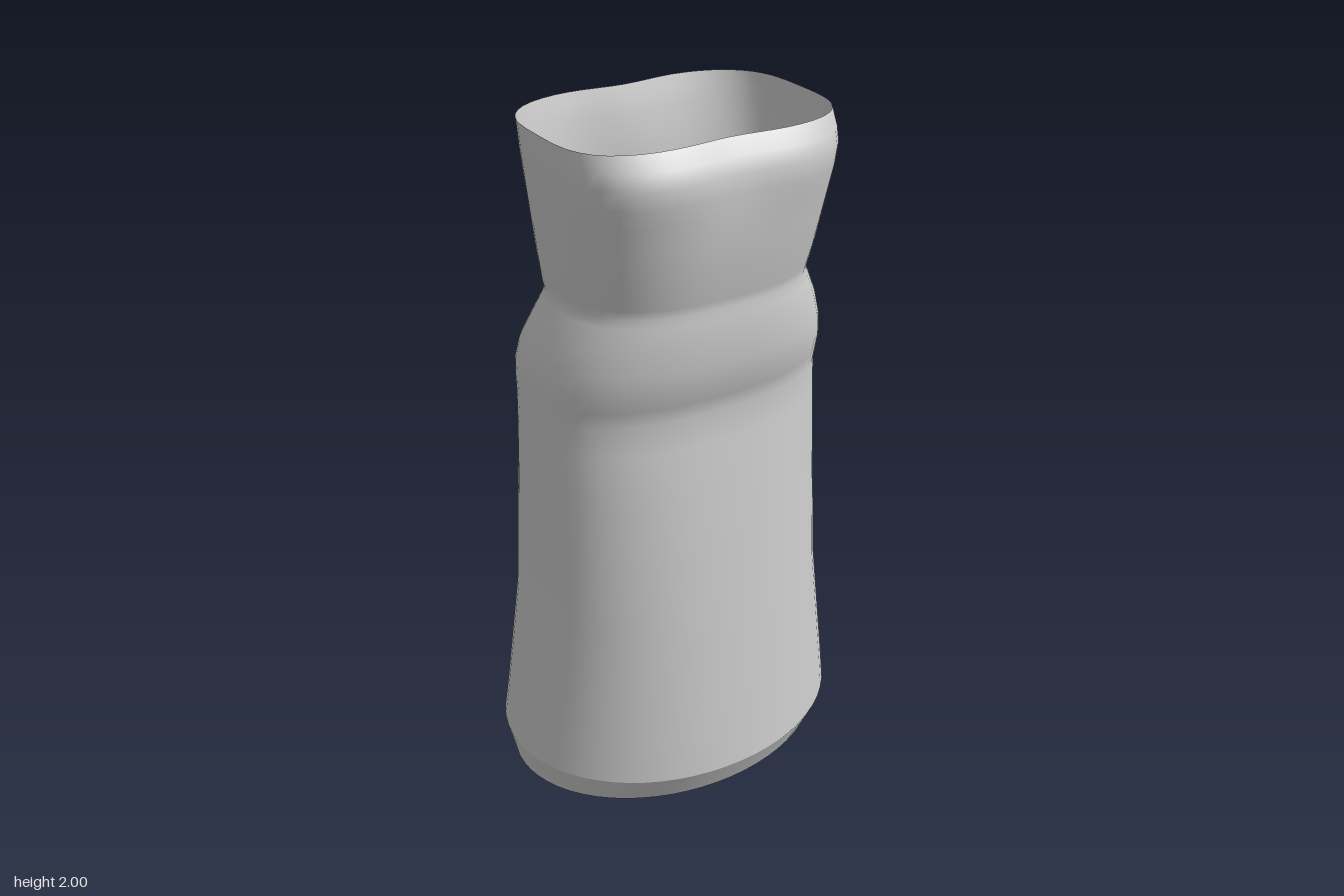
import * as THREE from 'three';

const SEGMENTS = 64;
const { smoothstep, lerp } = THREE.MathUtils;

// Outline at each height: y, half width, front z, back z
const HEM_EDGE = [0.1, 0.532, 0.432, -0.432];
const HEM = [[0, 0.512, 0.385, -0.39], HEM_EDGE];
const SLEEVE = [
  HEM_EDGE,
  [0.22, 0.516, 0.418, -0.405],
  [0.6, 0.465, 0.372, -0.357],
  [1.0, 0.447, 0.323, -0.311],
  [1.15, 0.444, 0.301, -0.29],
  [1.24, 0.443, 0.291, -0.28],
  [1.29, 0.444, 0.306, -0.281],
  [1.34, 0.443, 0.323, -0.278],
  [1.4, 0.432, 0.331, -0.255],
  [1.47, 0.407, 0.332, -0.209],
  [1.53, 0.377, 0.329, -0.178],
  [1.555, 0.366, 0.322, -0.169],
  [1.58, 0.37, 0.325, -0.177],
  [1.65, 0.376, 0.341, -0.187],
  [1.75, 0.383, 0.353, -0.195],
  [1.82, 0.388, 0.362, -0.202],
  [1.87, 0.391, 0.371, -0.21],
  [1.92, 0.394, 0.373, -0.219],
  [1.96, 0.395, 0.355, -0.228],
  [2.0, 0.396, 0.322, -0.24],
];

// A ring that is an ellipse at the hem and grows squarer towards the rim
function ringPoint([y, width, front, back], angle) {
  const c = Math.cos(angle);
  const s = Math.sin(angle);
  const isFront = s >= 0;
  const mid = 0.03 * smoothstep(y, 1.35, 1.55);
  const lower = Math.min(y / 1.2, 1);
  const n = isFront
    ? lerp(2, 2.5, lower) + 1.1 * smoothstep(y, 1.5, 2)
    : lerp(2, 2.2, lower) + 0.9 * smoothstep(y, 1.4, 1.95);
  const r = Math.pow(Math.abs(c) ** n + Math.abs(s) ** n, -1 / n);
  const x = width * c * r;
  // Soft hollow in the middle of the front and back of the rim
  const dent = isFront ? -0.018 * smoothstep(y, 1.76, 1.92) : 0.025 * smoothstep(y, 1.58, 1.95);
  const hollow = dent * Math.exp(-((x / 0.13) ** 2)) * Math.abs(s);
  const depth = isFront ? front - mid : mid - back;
  return [x, y, mid + depth * s * r + hollow];
}

// Skins a stack of rings into an open tube
function loft(rows) {
  const positions = [];
  const indices = [];
  rows.forEach((outline, row) => {
    for (let i = 0; i < SEGMENTS; i++) {
      positions.push(...ringPoint(outline, (i / SEGMENTS) * Math.PI * 2));
      if (row < rows.length - 1) {
        const p = row * SEGMENTS + i;
        const q = row * SEGMENTS + ((i + 1) % SEGMENTS);
        indices.push(p, p + SEGMENTS, q, q, p + SEGMENTS, q + SEGMENTS);
      }
    }
  });
  const geometry = new THREE.BufferGeometry();
  geometry.setAttribute('position', new THREE.Float32BufferAttribute(positions, 3));
  geometry.setIndex(indices);
  geometry.computeVertexNormals();
  return geometry;
}

export function createModel() {
  const group = new THREE.Group();
  group.name = 'cuff';
  const material = new THREE.MeshStandardMaterial({ color: 0xcccccc, side: THREE.DoubleSide });

  // Turned-in hem, kept separate for a crisp edge
  const hem = new THREE.Mesh(loft(HEM), material);
  hem.name = 'hem';

  // Flared sleeve, pinched neck and wavy rim
  const sleeve = new THREE.Mesh(loft(SLEEVE), material);
  sleeve.name = 'sleeve';

  group.add(hem, sleeve);
  return group;
}
